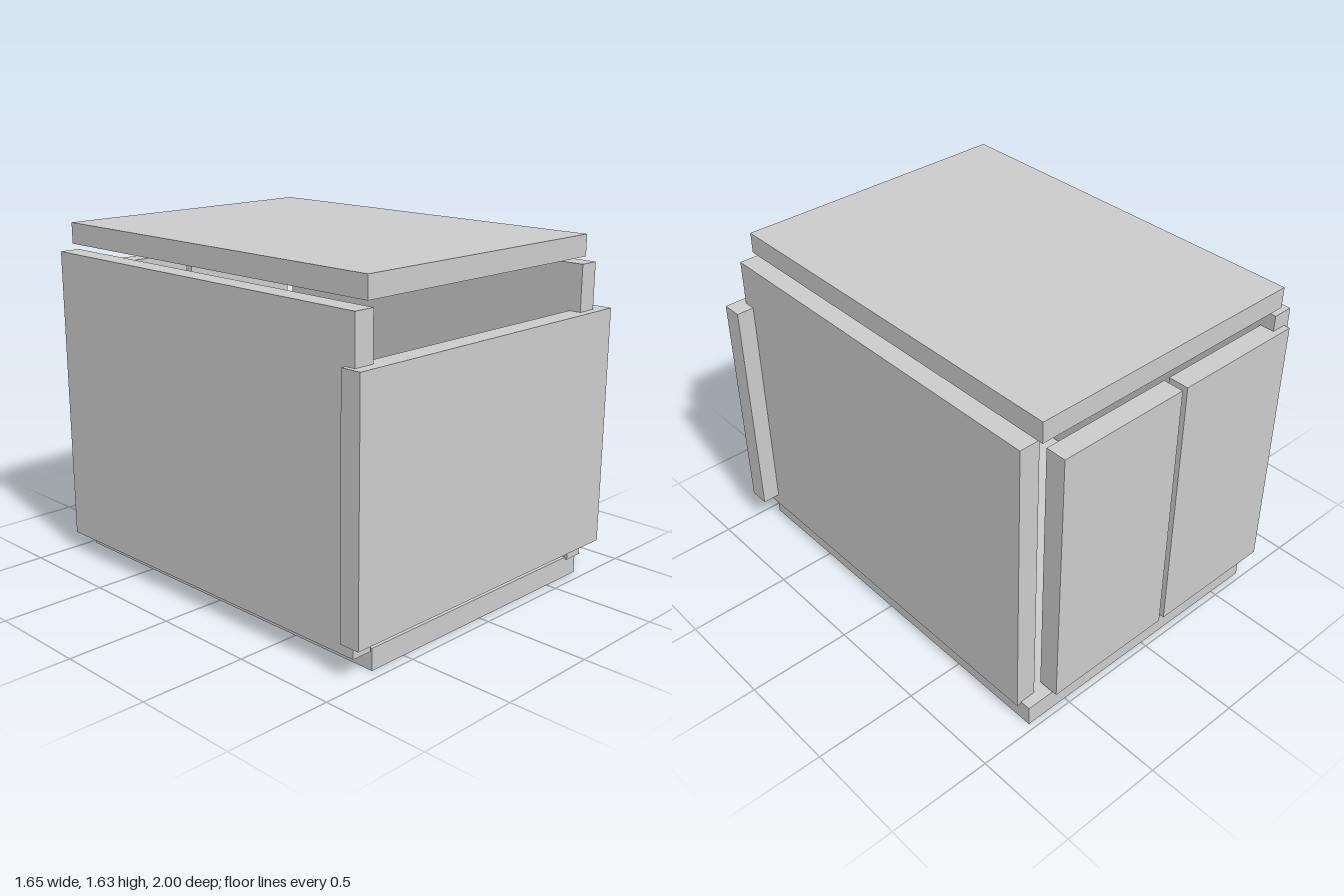
import * as THREE from 'three';

export function createModel() {
  const model = new THREE.Group();
  const material = new THREE.MeshStandardMaterial({ color: 0xcccccc, flatShading: true });

  // Board given by its extents along each axis
  function board(name, [x0, x1], [y0, y1], [z0, z1]) {
    const mesh = new THREE.Mesh(new THREE.BoxGeometry(x1 - x0, y1 - y0, z1 - z0), material);
    mesh.position.set((x0 + x1) / 2, (y0 + y1) / 2, (z0 + z1) / 2);
    mesh.name = name;
    model.add(mesh);
  }

  // Top and bottom boards
  board('topPanel', [-0.735, 0.675], [1.53, 1.63], [-0.97, 0.95]);
  board('bottomPanel', [-0.692, 0.718], [0, 0.1], [-0.97, 0.95]);

  // Side boards, slightly offset from each other
  board('rightSidePanel', [-0.802, -0.702], [0.09, 1.5], [-0.97, 0.95]);
  board('leftSidePanel', [0.64, 0.74], [0.09, 1.5], [-0.918, 0.96]);

  // Wide front board
  board('frontPanel', [-0.825, 0.825], [0.148, 1.282], [0.9, 1]);

  // Pair of back boards with a narrow gap
  board('rightBackPanel', [-0.775, -0.11], [0.112, 1.423], [-1, -0.9]);
  board('leftBackPanel', [-0.08, 0.585], [0.112, 1.423], [-1, -0.9]);

  return model;
}
